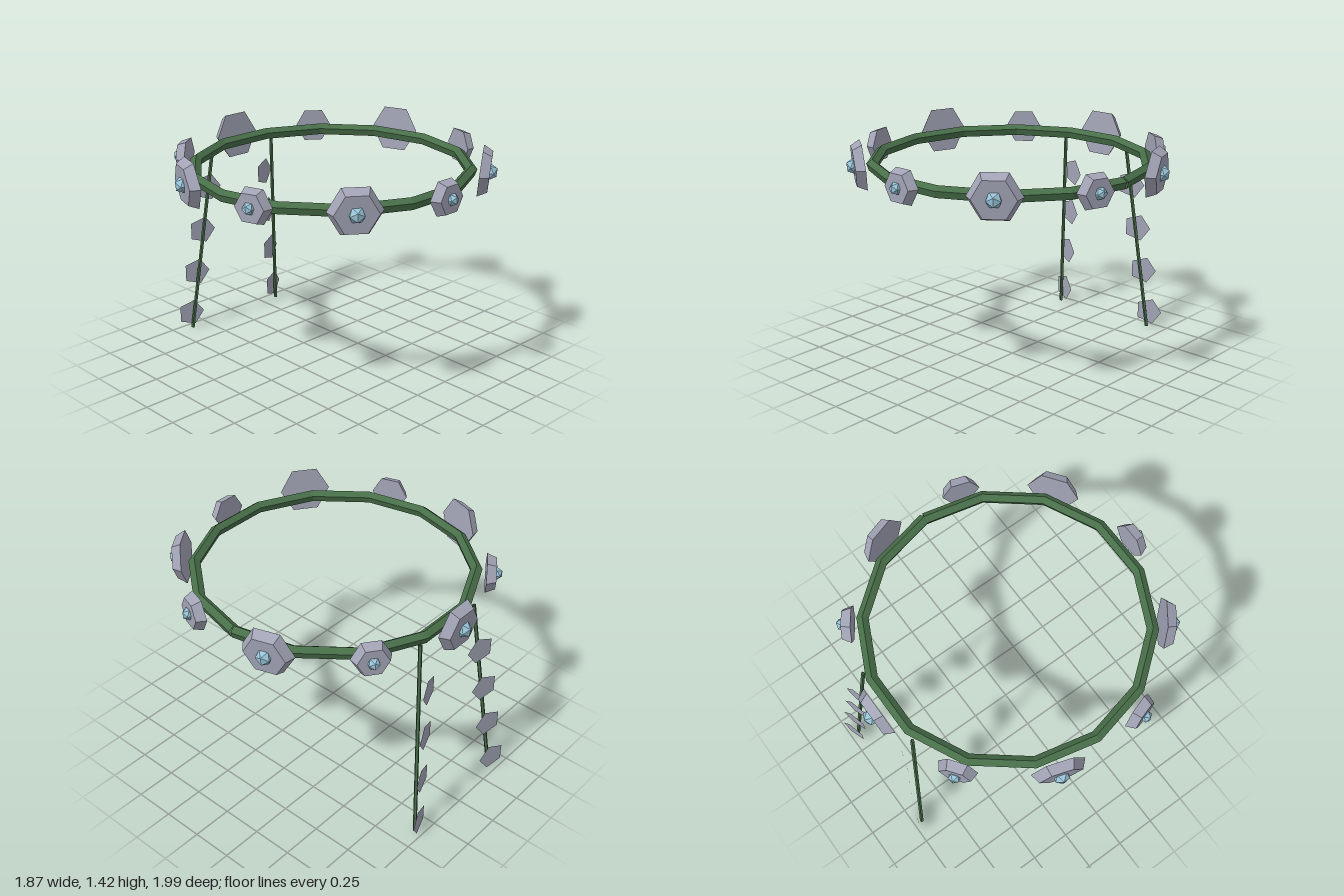
import * as THREE from 'three';

const mat = (name, color, side = THREE.FrontSide) =>
  Object.assign(new THREE.MeshStandardMaterial({ color, flatShading: true, side }), { name });

export function createModel() {
  const green = mat('vine green', 0x486f49, THREE.DoubleSide);
  const grey = mat('petal grey', 0xa2a4b6, THREE.DoubleSide);
  const blue = mat('gem blue', 0x98c4d8);

  const model = new THREE.Group();
  model.name = 'flowerCirclet';
  const add = (parent, name, geometry, material) => {
    const mesh = new THREE.Mesh(geometry, material);
    mesh.name = name;
    parent.add(mesh);
    return mesh;
  };
  const centreZ = 0.013;

  // Fourteen-sided vine ring, its ends meeting on the left
  const ringPoints = [];
  for (let i = 0; i <= 14; i++) {
    const a = (i / 14) * Math.PI * 2;
    ringPoints.push(new THREE.Vector3(Math.cos(a) * 0.832, 1.27, centreZ + Math.sin(a) * 0.832));
  }
  add(model, 'vineRing',
    new THREE.TubeGeometry(new THREE.CatmullRomCurve3(ringPoints), 14, 0.037, 5, false), green);

  // Ten hexagonal flowers around the ring, small and large in turn
  for (let i = 0; i < 10; i++) {
    const large = i % 2 === 1;
    const r = large ? 0.158 : 0.116;
    const a = (i / 10) * Math.PI * 2;
    const flower = new THREE.Group();
    flower.name = large ? 'largeFlower' : 'smallFlower';
    flower.position.set(Math.sin(a) * 0.915, 1.283, centreZ + Math.cos(a) * 0.915);
    flower.rotation.set(large ? 0.09 : 0, a, 0, 'YXZ');
    model.add(flower);

    const petals = new THREE.CylinderGeometry(r * 0.8, r, 0.058, 6, 1, false, Math.PI / 6);
    add(flower, 'petals', petals.rotateX(Math.PI / 2), grey);
    const gem = add(flower, 'gem', new THREE.IcosahedronGeometry(large ? 0.05 : 0.038, 0), blue);
    gem.position.z = large ? 0.026 : 0.032;
  }

  // Two trailing vines at the back, each with four five-sided leaves
  for (const side of [-1, 1]) {
    const path = new THREE.LineCurve3(
      new THREE.Vector3(side * 0.245, 1.26, -0.82),
      new THREE.Vector3(side * 0.371, 0.002, -0.947));
    add(model, side > 0 ? 'leftTrail' : 'rightTrail',
      new THREE.TubeGeometry(path, 1, 0.012, 5, false), green);

    for (let i = 0; i < 4; i++) {
      const leaf = add(model, 'trailLeaf', new THREE.CircleGeometry(0.091, 5), grey);
      leaf.position.set(side * (0.242 + i * 0.041), 0.975 - i * 0.292, -0.895 - i * 0.025);
      leaf.rotation.y = side * 0.3;
    }
  }
  return model;
}
